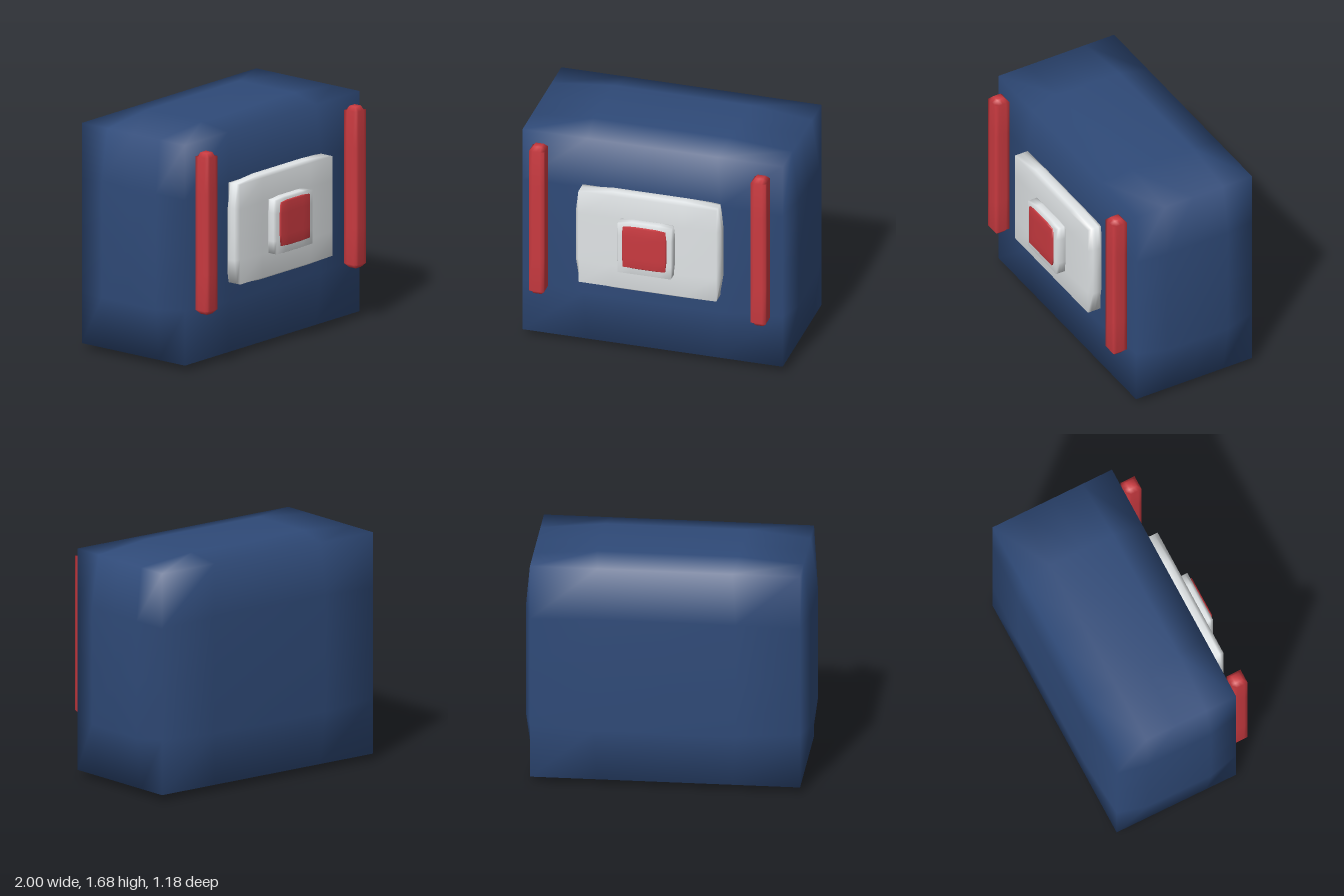
import * as THREE from 'three';
import { mergeVertices } from 'three/addons/utils/BufferGeometryUtils.js';

const blue = new THREE.MeshStandardMaterial({ color: 0x2f4a78 });
const white = new THREE.MeshStandardMaterial({ color: 0xe0e4e6 });
const red = new THREE.MeshStandardMaterial({ color: 0xc93a40 });

// Smooth pillow box: four segments per side, with edges and corners pulled in by 5%
function pillow(name, material, [w, h, d], [x, y, z]) {
  let geo = new THREE.BoxGeometry(w, h, d, 4, 4, 4);
  geo.deleteAttribute('uv');
  geo.deleteAttribute('normal');
  geo = mergeVertices(geo, 1e-5);
  const pos = geo.attributes.position;
  const v = new THREE.Vector3();
  for (let i = 0; i < pos.count; i++) {
    v.fromBufferAttribute(pos, i);
    const onFaces = [[v.x, w], [v.y, h], [v.z, d]]
      .filter(([p, size]) => Math.abs(p) > size * 0.49).length;
    if (onFaces >= 2) v.multiplyScalar(0.95);
    pos.setXYZ(i, v.x, v.y, v.z);
  }
  geo.computeVertexNormals();
  const mesh = new THREE.Mesh(geo, material);
  mesh.name = name;
  mesh.position.set(x, y, z);
  return mesh;
}

export function createModel() {
  const model = new THREE.Group();
  model.name = 'paddedPack';

  // Main padded body
  model.add(pillow('body', blue, [2, 1.68, 0.99], [0, 0.84, -0.097]));

  // Front panel with a raised button and its coloured cap
  model.add(pillow('frontPanel', white, [1.06, 0.76, 0.12], [0, 0.92, 0.445]));
  model.add(pillow('button', white, [0.41, 0.41, 0.09], [0, 0.92, 0.535]));
  model.add(pillow('buttonCap', red, [0.325, 0.33, 0.04], [0, 0.938, 0.572]));

  // Upright straps on both sides of the panel
  for (const [side, name] of [[1, 'leftStrap'], [-1, 'rightStrap']]) {
    model.add(pillow(name, red, [0.115, 1.17, 0.115], [side * 0.81, 0.99, 0.452]));
  }
  return model;
}
